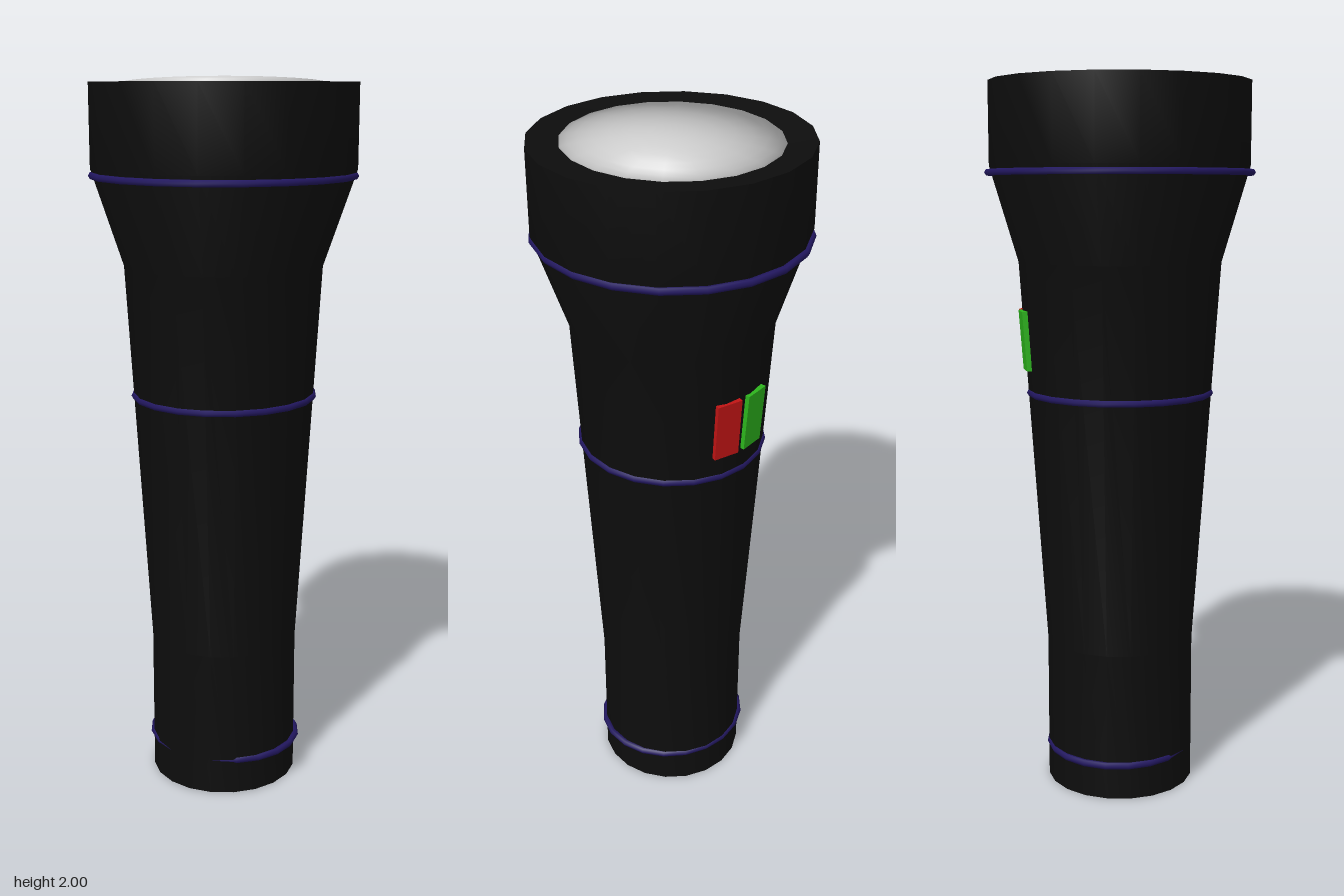
import * as THREE from 'three';
import { toCreasedNormals } from 'three/addons/utils/BufferGeometryUtils.js';

const SIDES = 20;
const paint = (color) => new THREE.MeshStandardMaterial({ color });

export function createModel() {
  const model = new THREE.Group();
  const add = (name, geometry, material) => {
    const mesh = new THREE.Mesh(geometry, material);
    mesh.name = name;
    model.add(mesh);
    return mesh;
  };

  const black = paint(0x0d0d0d);
  const violet = paint(0x221760);

  // Casing: height, half width, half depth of each section
  const rows = [
    [0, 0, 0], [0, 0.21, 0.21], [0.42, 0.21, 0.21], [1.5, 0.272, 0.283],
    [1.76, 0.363, 0.359], [1.985, 0.363, 0.359], [1.98, 0.27, 0.275],
  ];
  const casing = new THREE.LatheGeometry(rows.map(([y, rx]) => new THREE.Vector2(rx, y)), SIDES);
  const pos = casing.attributes.position;
  for (let i = 0; i < pos.count; i++) {
    const [, rx, rz] = rows[i % rows.length];
    if (rx > 0) pos.setZ(i, pos.getZ(i) * rz / rx);
  }
  add('casing', toCreasedNormals(casing, 0.6), black);

  // Lens: a hemisphere pressed flat that keeps its round normals
  const lens = new THREE.SphereGeometry(1, SIDES, 8, 0, Math.PI * 2, 0, Math.PI / 2);
  lens.attributes.position.applyMatrix4(new THREE.Matrix4().makeScale(0.28, 0.02, 0.288));
  add('lens', lens, paint(0xcccccc)).position.set(0, 1.98, -0.004);

  // Trim rings: height, outer half width, outer half depth, z offset
  const tube = 0.01;
  for (const [name, y, rx, rz, z] of [
    ['headRing', 1.742, 0.365, 0.373, 0],
    ['gripRing', 1.136, 0.26, 0.264, 0],
    ['tailRing', 0.1, 0.225, 0.211, -0.003],
  ]) {
    const ring = new THREE.TorusGeometry(rx - tube, tube, 6, SIDES);
    ring.rotateX(Math.PI / 2);
    ring.scale(1, 1, rz / rx);
    add(name, ring, violet).position.set(0, y, z);
  }

  // Switch buttons on the back, leaning with the casing wall
  for (const [name, color, turn] of [
    ['redButton', 0xc01414, 0.03],
    ['greenButton', 0x2cb41c, 0.38],
  ]) {
    const button = add(name, new THREE.BoxGeometry(0.074, 0.165, 0.02), paint(color));
    const angle = Math.PI + turn;
    button.rotation.set(0.075, angle, 0, 'YXZ');
    button.position.set(Math.sin(angle) * 0.265, 1.285, Math.cos(angle) * 0.265);
  }

  return model;
}
